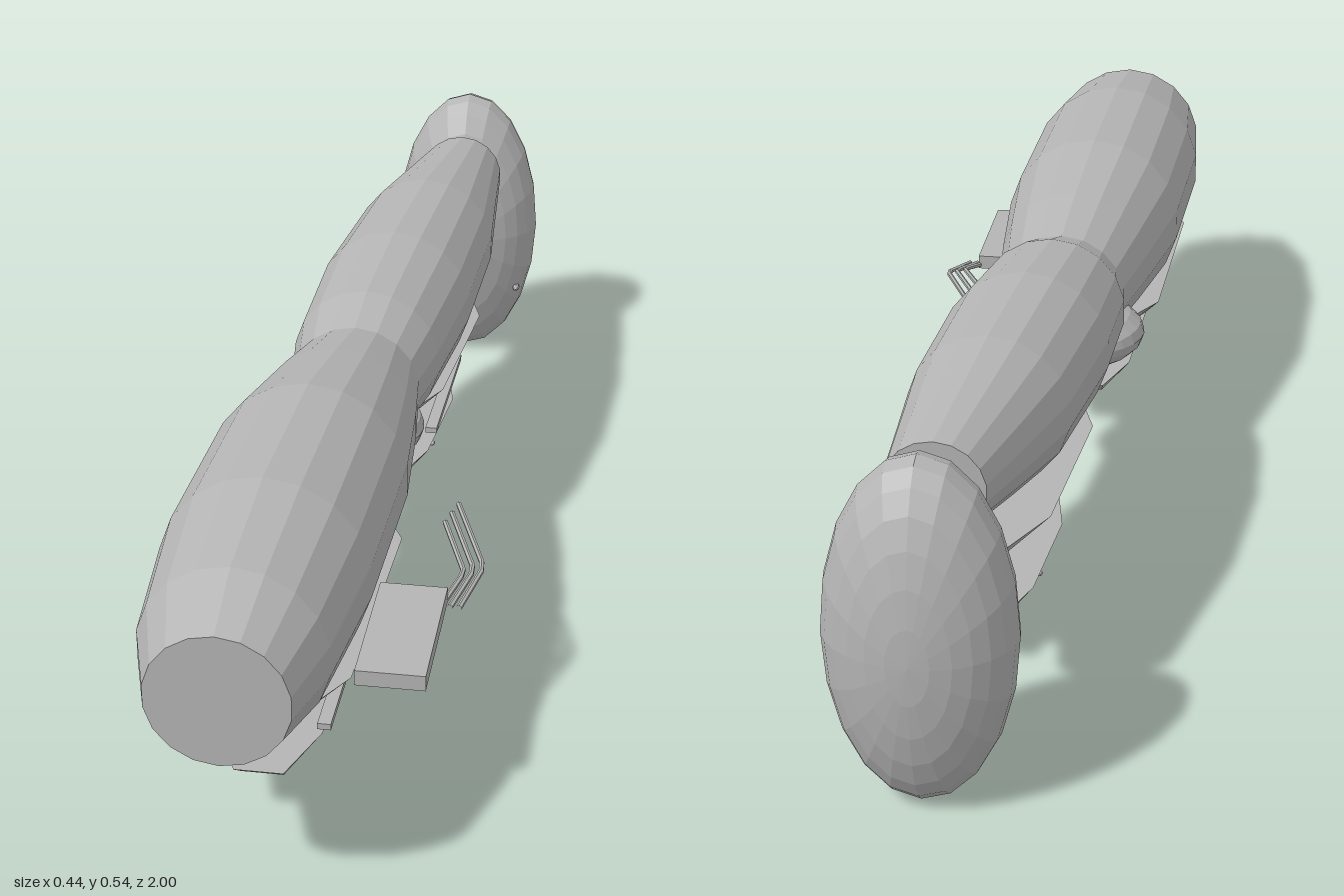
import * as THREE from 'three';
import { ConvexGeometry } from 'three/addons/geometries/ConvexGeometry.js';

export function createModel() {
  const model = new THREE.Group();
  model.name = 'jointedLimb';
  const grey = new THREE.MeshStandardMaterial({ color: 0xb4b4b4, flatShading: true });
  grey.name = 'plain grey';

  function add(name, geometry, x = 0, y = 0, z = 0) {
    const mesh = new THREE.Mesh(geometry, grey);
    mesh.name = name;
    mesh.position.set(x, y, z);
    model.add(mesh);
    return mesh;
  }

  // Round limb through rings of [z, centre x, centre y, radius], back to front
  function limb(name, rings) {
    const n = rings.length - 1;
    const geo = new THREE.CylinderGeometry(1, 1, 1, 18, n);
    const p = geo.attributes.position;
    for (let i = 0; i < p.count; i++) {
      const [z, cx, cy, r] = rings[Math.round((p.getY(i) + 0.5) * n)];
      p.setXYZ(i, cx + r * p.getX(i), cy - r * p.getZ(i), z);
    }
    geo.computeVertexNormals();
    add(name, geo);
  }

  // Ellipsoid with its poles along z
  function ellipsoid(name, c, r, w = 20, h = 14) {
    const geo = new THREE.SphereGeometry(1, w, h);
    geo.rotateX(Math.PI / 2);
    geo.scale(...r);
    add(name, geo, ...c);
  }

  // Long plate with clipped corners; the underside is inset by bevelX and bevelZ
  function plate(name, o) {
    const zc = (o.z0 + o.z1) / 2, pts = [];
    for (const [y, ix, iz] of [[o.top, 0, 0], [o.bottom, o.bevelX, o.bevelZ]]) {
      const w = o.half - ix, l = (o.z1 - o.z0) / 2 - iz;
      for (const sx of [-1, 1]) for (const sz of [-1, 1])
        for (const [x, z] of [[w, l - o.clip], [w * 0.52, l]])
          pts.push(new THREE.Vector3(o.x + sx * x + o.slope * sz * z, y, zc + sz * z));
    }
    add(name, new ConvexGeometry(pts));
  }

  // Main limb segments
  limb('upperLimb', [
    [0.065, -0.04, 0.366, 0.108], [0.2, -0.047, 0.371, 0.13], [0.39, -0.058, 0.377, 0.155],
    [0.69, -0.068, 0.377, 0.157], [0.89, -0.073, 0.369, 0.137], [1, -0.073, 0.362, 0.103]]);
  limb('lowerLimb', [
    [-0.77, 0.034, 0.42, 0.076], [-0.6, 0.016, 0.408, 0.104], [-0.47, 0.003, 0.4, 0.125],
    [-0.22, -0.018, 0.39, 0.135], [-0.02, -0.034, 0.378, 0.124], [0.065, -0.04, 0.366, 0.108]]);

  // Joint and foot
  ellipsoid('kneeJoint', [-0.053, 0.3, 0.072], [0.13, 0.06, 0.113]);
  ellipsoid('foot', [0.033, 0.27, -0.893], [0.139, 0.27, 0.107]);
  for (const s of [-1, 1])
    ellipsoid('footStud', [0.033 + s * 0.107, 0.152, -0.84], [0.007, 0.006, 0.012], 8, 6);
  plate('kneePad', { x: -0.035, half: 0.04, z0: -0.04, z1: 0.108, top: 0.214, bottom: 0.192,
    bevelX: 0.008, bevelZ: 0.012, clip: 0.03, slope: 0 });

  // Armour under each segment: large plate, side rail and hanging stack
  const sets = [
    { tag: 'upper', x: -0.06, slope: -0.037, half: 0.132, z0: 0.22, z1: 0.86, bottom: 0.192,
      hang: [0.295, 0.775, 0.072], second: [0.38, 0.69], third: [0.45, 0.64],
      rail: [0.032, 0.38, 0.775], stud: 0.55 },
    { tag: 'lower', x: -0.01, slope: -0.09, half: 0.1, z0: -0.62, z1: -0.065, bottom: 0.196,
      hang: [-0.56, -0.13, 0.062], second: [-0.475, -0.215], third: [-0.44, -0.245],
      rail: [0.063, -0.45, -0.15], stud: -0.34 }];
  for (const s of sets) {
    const base = { x: s.x, slope: s.slope };
    plate(s.tag + 'ArmourPlate', { ...base, half: s.half, z0: s.z0, z1: s.z1, top: 0.243,
      bottom: s.bottom, bevelX: 0.03, bevelZ: 0.07, clip: 0.12 });
    plate(s.tag + 'HangingPlate', { ...base, half: s.hang[2], z0: s.hang[0], z1: s.hang[1],
      top: 0.088, bottom: 0.068, bevelX: 0.01, bevelZ: 0.025, clip: 0.11 });
    plate(s.tag + 'MiddlePlate', { ...base, half: 0.046, z0: s.second[0], z1: s.second[1],
      top: 0.065, bottom: 0.055, bevelX: 0.005, bevelZ: 0.015, clip: 0.07 });
    plate(s.tag + 'BottomPlate', { ...base, half: 0.03, z0: s.third[0], z1: s.third[1],
      top: 0.048, bottom: 0.043, bevelX: 0.003, bevelZ: 0.005, clip: 0.05 });
    const [rx, r0, r1] = s.rail;
    add(s.tag + 'Rail', new THREE.BoxGeometry(0.02, 0.01, r1 - r0), rx, 0.178, (r0 + r1) / 2)
      .rotation.y = s.slope / 4;
    for (const side of [-1, 1])
      ellipsoid(s.tag + 'Stud', [s.x + side * 0.047, 0.05, s.stud], [0.006, 0.004, 0.007], 8, 6);
  }

  // Side pad with ribs on its underside
  add('sidePad', new THREE.BoxGeometry(0.104, 0.025, 0.245), 0.12, 0.24, 0.613);
  for (let i = 0; i < 5; i++)
    add('padRib', new THREE.BoxGeometry(0.073, 0.013, 0.02), 0.122, 0.216, 0.533 + i * 0.04);

  // Bent fingers beside the pad
  for (let i = 0; i < 3; i++) {
    const d = i * 0.014, e = (2 - i) * 0.03;
    const path = new THREE.CurvePath();
    const pts = [[0.164 + d, 0.23, 0.51], [0.19 + d, 0.248, 0.415 + e / 3], [0.145 + d / 2, 0.266, 0.257 + e]]
      .map(a => new THREE.Vector3(...a));
    path.add(new THREE.LineCurve3(pts[0], pts[1]));
    path.add(new THREE.LineCurve3(pts[1], pts[2]));
    add('finger', new THREE.TubeGeometry(path, 12, 0.0045, 6));
  }
  return model;
}
